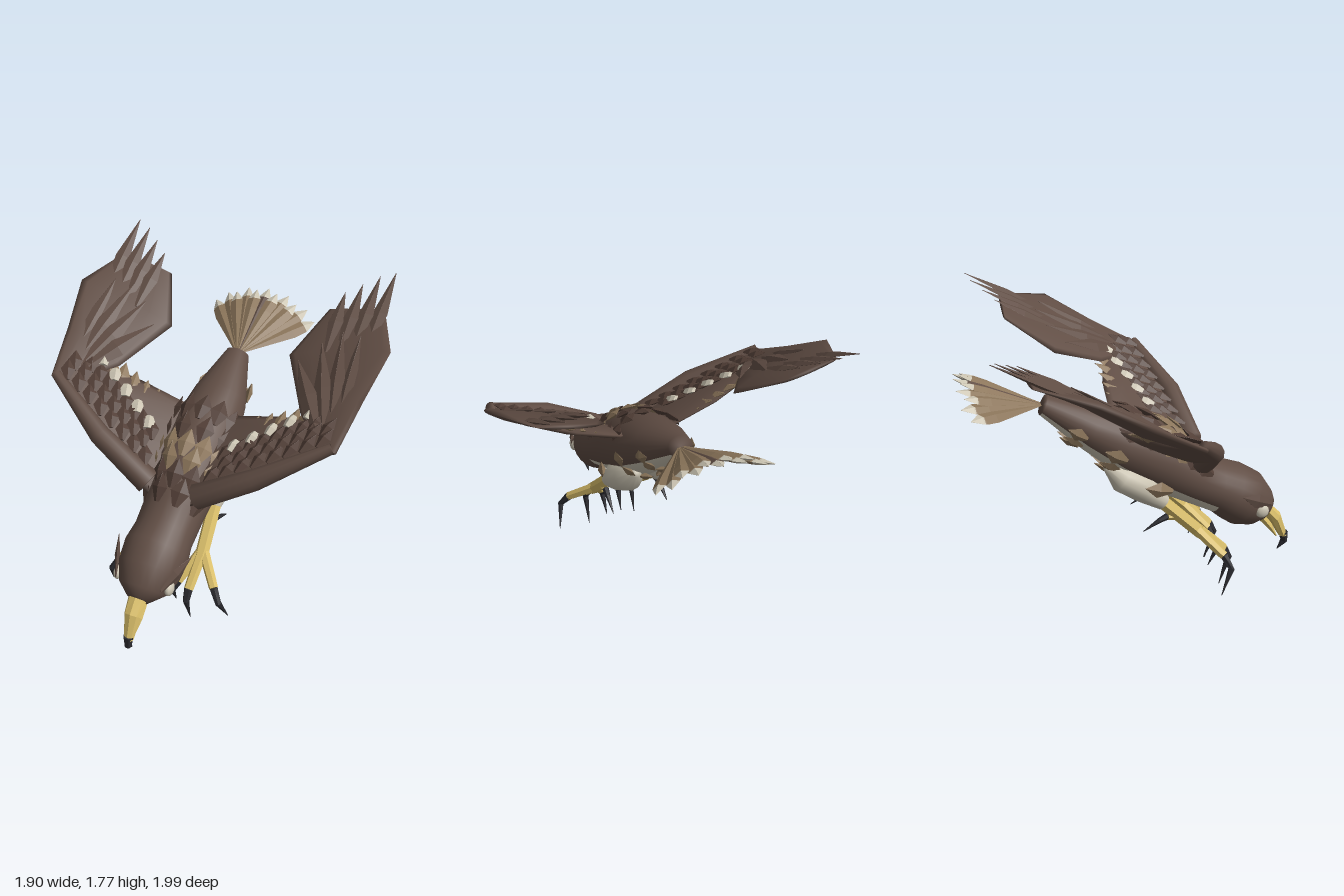
import * as THREE from 'three';

const mat = (name, color) => {
  const m = new THREE.MeshStandardMaterial({ color });
  m.name = name;
  return m;
};
const V = (x, y, z) => new THREE.Vector3(x, y, z);
const lerp = (a, b, t) => a.clone().lerp(b, t);

// Skin over elliptical sections {c, u, v}; faces picked by isAlt go into a second group.
function loft(sections, n, flat = true, isAlt = () => false) {
  const pos = [], main = [], alt = [];
  for (const { c, u, v } of sections) {
    for (let i = 0; i < n; i++) {
      const a = (i / n) * Math.PI * 2;
      pos.push(c.clone().addScaledVector(u, Math.cos(a)).addScaledVector(v, Math.sin(a)));
    }
  }
  const last = sections.length - 1, capA = pos.length, capB = capA + 1;
  pos.push(sections[0].c, sections[last].c);
  for (let i = 0; i < n; i++) {
    const k = (i + 1) % n;
    for (let j = 0; j < last; j++) {
      const a = j * n + i, b = j * n + k;
      (isAlt(j, i) ? alt : main).push(a, b, a + n, b, b + n, a + n);
    }
    main.push(capA, k, i, capB, last * n + i, last * n + k);
  }
  // Turn faces outward by the sign of the enclosed volume
  const all = [...main, ...alt];
  let volume = 0;
  for (let i = 0; i < all.length; i += 3) {
    volume += pos[all[i]].clone().sub(pos[capA]).dot(
      pos[all[i + 1]].clone().sub(pos[capA]).cross(pos[all[i + 2]].clone().sub(pos[capA])));
  }
  if (volume < 0) for (let i = 0; i < all.length; i += 3) [all[i], all[i + 1]] = [all[i + 1], all[i]];
  let g = new THREE.BufferGeometry().setFromPoints(pos);
  g.setIndex(all);
  if (flat) g = g.toNonIndexed();
  g.computeVertexNormals();
  if (alt.length) {
    g.addGroup(0, main.length, 0);
    g.addGroup(main.length, alt.length, 1);
  }
  return g;
}

// Ridged leaf from base to tip, with its flat face along normal
function leaf(base, tip, width, normal, thick = 0.015, shape = [[0, 0.3], [0.5, 1], [1, 0.03]]) {
  const dir = tip.clone().sub(base);
  const side = dir.clone().cross(normal).normalize();
  const up = side.clone().cross(dir).normalize();
  return loft(shape.map(([t, w]) => ({
    c: lerp(base, tip, t),
    u: side.clone().multiplyScalar(width * w / 2),
    v: up.clone().multiplyScalar(thick * Math.max(w, 0.1)),
  })), 4);
}

// Faceted tapering limb through points with given radii
function limb(points, radii, n = 6, flat = true) {
  return loft(points.map((c, i) => {
    const d = points[Math.min(i + 1, points.length - 1)].clone().sub(points[Math.max(i - 1, 0)]).normalize();
    const u = V(1, 0, 0).addScaledVector(d, -d.x).normalize();
    return { c, u: u.clone().multiplyScalar(radii[i]), v: d.cross(u).multiplyScalar(radii[i]) };
  }), n, flat);
}

export function createModel() {
  const root = new THREE.Group();
  root.name = 'bird';
  const brown = mat('brown plumage', 0x604d44), dark = mat('dark feather', 0x523f37);
  const tan = mat('tan feather', 0x8c765b), cream = mat('cream plumage', 0xcbc4b2);
  const yellow = mat('yellow skin', 0xd9be6a), black = mat('claw black', 0x2b2b30);
  const add = (name, g, m) => {
    const mesh = new THREE.Mesh(g, m);
    mesh.name = name;
    root.add(mesh);
  };

  // Body: top z, top y, bottom z, bottom y, half width
  const rings = [
    [0.89, 0.47, 0.81, 0.33, 0.06], [0.87, 0.53, 0.70, 0.325, 0.14], [0.80, 0.64, 0.60, 0.345, 0.18],
    [0.68, 0.715, 0.53, 0.395, 0.19], [0.56, 0.757, 0.475, 0.443, 0.175], [0.45, 0.83, 0.30, 0.53, 0.18],
    [0.25, 1.0, 0.12, 0.62, 0.205], [0.0, 1.12, -0.10, 0.76, 0.2], [-0.2, 1.18, -0.30, 0.93, 0.165],
    [-0.48, 1.265, -0.535, 1.157, 0.07],
  ].map(([tz, ty, bz, by, w]) => ({
    c: V(0, (ty + by) / 2, (tz + bz) / 2), u: V(0, (ty - by) / 2, (tz - bz) / 2), v: V(w, 0, 0),
  }));
  add('body', loft(rings, 24, false, (j, i) => j >= 4 && i >= 8 && i < 16), [brown, cream]);

  // Point and outward direction on the body skin
  const skin = (k, a) => {
    const i = Math.min(Math.floor(k), rings.length - 2), f = k - i, p = rings[i], q = rings[i + 1];
    const u = lerp(p.u, q.u, f), v = lerp(p.v, q.v, f);
    return {
      p: lerp(p.c, q.c, f).addScaledVector(u, Math.cos(a)).addScaledVector(v, Math.sin(a)),
      n: u.clone().normalize().multiplyScalar(Math.cos(a)).add(V(Math.sin(a), 0, 0)),
    };
  };
  const row = (name, k, centre, spread, count, len, width, m) => {
    for (let i = 0; i < count; i++) {
      const a = centre + spread * (count > 1 ? (2 * i) / (count - 1) - 1 : 0);
      const { p, n } = skin(k, a);
      const d = skin(k + 0.1, a).p.sub(p).normalize();
      const base = p.clone().addScaledVector(d, -len / 2).addScaledVector(n, 0.005);
      const tip = p.clone().addScaledVector(d, len / 2).addScaledVector(n, 0.03);
      add(name, leaf(base, tip, width, n, 0.02), m);
    }
  };
  // Back and belly feather rows
  [[5.15, 4, dark], [5.5, 5, dark], [5.85, 4, tan], [6.2, 5, tan], [6.6, 4, dark], [7.1, 5, dark]]
    .forEach(([k, count, m]) => row('backFeather', k, 0, 0.95, count, 0.16, 0.11, m));
  row('bellyFeather', 7.35, Math.PI, 1.35, 6, 0.15, 0.1, tan);
  row('bellyFeather', 8.3, Math.PI, 1.35, 6, 0.13, 0.085, tan);

  // Tail fan with pale tips; outer feathers droop
  for (let i = -5; i <= 5; i++) {
    const s = i / 5, base = V(0.02 * s, 1.215, -0.52);
    const tip = V(0.3 * s, 1.385 - 0.11 * s * s, -0.95 + (i % 2 ? 0.03 : 0) + 0.03 * s * s);
    const up = V(0.5 * s, 1, 0.3);
    add('tailFeather', leaf(base, tip, 0.09, up, 0.018, [[0, 0.1], [0.75, 1], [0.92, 0.9], [1, 0.4]]),
      i % 2 ? tan : i === 0 ? brown : tan);
    add('tailTip', leaf(lerp(base, tip, 0.85), lerp(base, tip, 1.1), 0.085, up, 0.018, [[0, 0.9], [0.4, 0.85], [1, 0.03]]), cream);
  }

  // Beak: upper and lower halves, hooked tip
  const beakPart = (list) => loft(list.map(([tz, ty, bz, by, w]) => ({
    c: V(0, (ty + by) / 2, (tz + bz) / 2), u: V(0, (ty - by) / 2, (tz - bz) / 2), v: V(w, 0, 0),
  })), 8);
  add('upperBeak', beakPart([[0.87, 0.43, 0.82, 0.37, 0.055], [0.94, 0.36, 0.88, 0.3, 0.05], [0.995, 0.2, 0.94, 0.2, 0.03]]), yellow);
  add('lowerBeak', beakPart([[0.83, 0.38, 0.8, 0.33, 0.045], [0.89, 0.29, 0.855, 0.27, 0.04], [0.925, 0.21, 0.915, 0.2, 0.02]]), yellow);
  add('beakHook', limb([V(0, 0.22, 0.97), V(0, 0.155, 0.978), V(0, 0.1, 0.935)], [0.03, 0.022, 0.002]), black);

  for (const s of [1, -1]) {
    const P = (x, y, z) => V(s * x, y, z);

    // Eye and brow
    const eye = new THREE.SphereGeometry(0.042, 12, 8);
    eye.scale(0.6, 1, 1).translate(s * 0.158, 0.47, 0.765);
    add('eye', eye, cream);
    add('brow', leaf(P(0.14, 0.5, 0.83), P(0.225, 0.61, 0.62), 0.09, P(1, 0.1, 0.3), 0.015), brown);

    // Wing panels from leading and trailing edge points
    const panel = (list) => list.map(([a, b, t]) => {
      const lead = P(...a), trail = P(...b);
      const n = P(-0.35, 0.8, 0.5).normalize();
      return { c: lerp(lead, trail, 0.5), u: lead.sub(trail).multiplyScalar(0.5), v: n.multiplyScalar(t) };
    });
    add('innerWing', loft(panel([
      [[0.13, 0.8, 0.44], [0.16, 1.07, -0.1], 0.035], [[0.5, 1.0, 0.37], [0.42, 1.15, -0.09], 0.035],
      [[0.84, 1.25, 0.2], [0.62, 1.22, -0.05], 0.025],
    ]), 12, false), brown);
    add('outerWing', loft(panel([
      [[0.86, 1.24, 0.2], [0.76, 1.2, 0.18], 0.02], [[0.9, 1.4, -0.08], [0.56, 1.23, -0.07], 0.03],
      [[0.95, 1.565, -0.35], [0.37, 1.375, -0.38], 0.03], [[0.82, 1.63, -0.65], [0.5, 1.56, -0.65], 0.012],
    ]), 12, false), brown);
    add('wingArm', limb([P(0.15, 0.84, 0.39), P(0.47, 1.04, 0.35), P(0.83, 1.255, 0.19)], [0.075, 0.06, 0.03], 10, false), brown);

    // Wingtip quills
    [[0.81, 1.765, -0.85], [0.73, 1.74, -0.82], [0.65, 1.7, -0.76], [0.57, 1.66, -0.7]].forEach((t, i) =>
      add('wingtipQuill', leaf(P(0.8 - i * 0.07, 1.5 - i * 0.01, -0.35), P(...t), 0.09, P(-0.2, 0.85, 0.5), 0.015), brown));
    // Long feathers folded over the outer wing
    [[0.45, 1.41, -0.3], [0.55, 1.49, -0.4], [0.65, 1.56, -0.45], [0.76, 1.58, -0.42]].forEach((t, i) =>
      add('flightFeather', leaf(P(0.72 + i * 0.03, 1.25, 0.1), P(...t), 0.11, P(-0.35, 0.8, 0.5), 0.02), brown));

    // Covert rows between arm edge lines
    const frontLine = [P(0.18, 0.93, 0.38), P(0.8, 1.27, 0.2)], backLine = [P(0.22, 1.05, 0.15), P(0.64, 1.26, 0)];
    const onWing = (t, w) => lerp(lerp(...frontLine, t), lerp(...backLine, t), w);
    for (let r = 0; r < 3; r++) {
      for (let i = 0; i < 8; i++) {
        const p = onWing((i + 0.5 * (r % 2)) / 7.5, 0.05 + r * 0.3);
        const tip = p.clone().add(P(0.05, 0.06, -0.11));
        add('covertFeather', leaf(p, tip, 0.085, P(-0.4, 0.85, 0.5), 0.02), dark);
      }
    }
    // Pale spots and tan under feathers along the rear of the arm
    for (let i = 0; i < 5; i++) {
      const p = P(0.25 + i * 0.093, 1.05 + i * 0.055, 0.19 - i * 0.044);
      add('paleCovert', leaf(p, p.clone().add(P(0.02, 0.035, -0.065)), 0.07, P(-0.4, 0.85, 0.5), 0.02, [[0, 0.7], [0.6, 1], [1, 0.6]]), cream);
    }
    for (let i = 0; i < 6; i++) {
      const p = P(0.22 + i * 0.075, 1.0 + i * 0.035, 0.07 - i * 0.008);
      add('underwingFeather', leaf(p, p.clone().add(P(0.02, 0.09, -0.15)), 0.1, P(-0.3, 0.85, 0.45), 0.02), tan);
    }

    // Thigh, leg and foot
    add('thigh', limb([P(0.11, 0.85, -0.17), P(0.12, 0.77, -0.08), P(0.13, 0.69, 0.05), P(0.15, 0.59, 0.16)], [0.03, 0.09, 0.09, 0.045], 12, false), cream);
    add('thighFeather', leaf(P(0.185, 0.68, 0.2), P(0.235, 0.74, 0.03), 0.1, P(1, 0, 0.2), 0.025), tan);
    add('leg', limb([P(0.15, 0.61, 0.14), P(0.17, 0.38, 0.38)], [0.042, 0.04]), yellow);
    const toe = (points, r) => {
      const [a, b, c, d] = points.map((p) => P(...p));
      add('toe', limb([a, b], [r, r * 0.85]), yellow);
      add('claw', limb([b, c, d], [r * 0.8, r * 0.6, 0.002]), black);
    };
    toe([[0.17, 0.4, 0.37], [0.16, 0.25, 0.53], [0.16, 0.19, 0.565], [0.16, 0.0, 0.51]], 0.034);
    toe([[0.18, 0.4, 0.36], [0.3, 0.28, 0.49], [0.345, 0.21, 0.525], [0.38, 0.06, 0.46]], 0.032);
    toe([[0.16, 0.4, 0.36], [0.08, 0.26, 0.5], [0.055, 0.2, 0.53], [0.05, 0.07, 0.47]], 0.032);
    toe([[0.16, 0.5, 0.27], [0.165, 0.51, 0.18], [0.17, 0.49, 0.13], [0.175, 0.43, 0.03]], 0.026);
  }
  return root;
}
